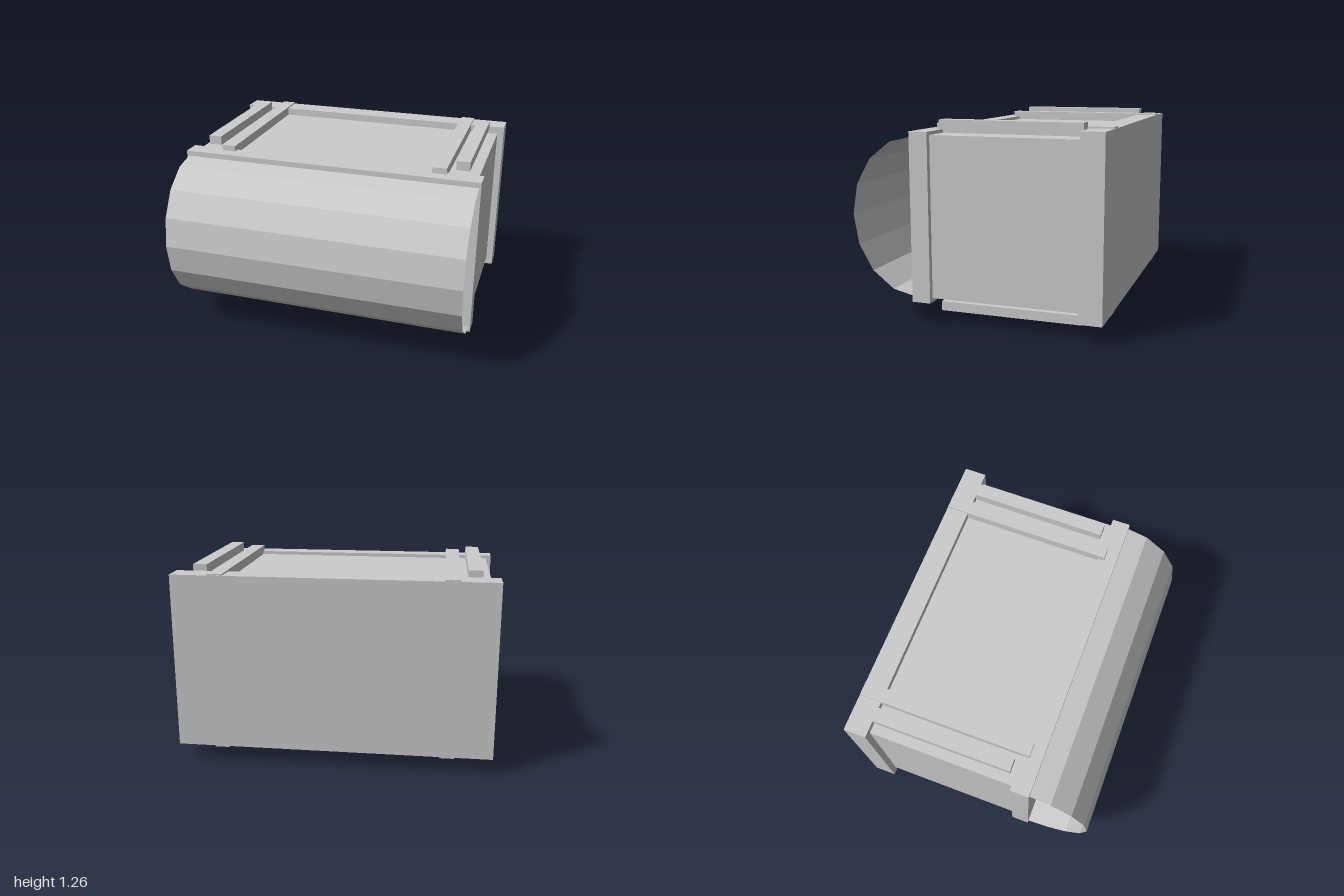
import * as THREE from 'three';

export function createModel() {
  const model = new THREE.Group();
  model.name = 'lampHousing';
  const grey = new THREE.MeshStandardMaterial({ color: 0xcccccc, flatShading: true, side: THREE.DoubleSide });
  grey.name = 'plain grey';

  const add = (name, geometry) => {
    const mesh = new THREE.Mesh(geometry, grey);
    mesh.name = name;
    model.add(mesh);
    return mesh;
  };
  // Box given by its limits on each axis
  const box = (name, x0, x1, y0, y1, z0, z1) =>
    add(name, new THREE.BoxGeometry(x1 - x0, y1 - y0, z1 - z0))
      .position.set((x0 + x1) / 2, (y0 + y1) / 2, (z0 + z1) / 2);

  // Main case with its front and back collars
  box('case', -0.955, 0.955, 0.16, 1.17, -0.7, 0.32);
  box('frontCollar', -0.99, 0.99, 0.135, 1.192, 0.28, 0.4);
  box('backCollar', -1, 1, 0.108, 1.22, -0.805, -0.66);

  // Faceted half-round front shell, open at both ends
  const shell = new THREE.CylinderGeometry(0.5, 0.5, 1.955, 8, 1, true, -Math.PI / 2, Math.PI);
  shell.rotateZ(Math.PI / 2);
  shell.scale(1, 1, 0.87);
  add('frontShell', shell).position.set(0, 0.664, 0.37);

  // Rails along the top and bottom, mirrored left and right
  for (const s of [-1, 1]) {
    const side = s > 0 ? 'left' : 'right';
    const rail = (name, a, b, ...rest) => box(side + name, Math.min(s * a, s * b), Math.max(s * a, s * b), ...rest);
    rail('TopInnerRail', 0.67, 0.762, 1.168, 1.23, -0.803, 0.32);
    rail('TopOuterRail', 0.807, 0.895, 1.2, 1.26, -0.655, 0.245);
    rail('BottomInnerRail', 0.67, 0.762, 0.1, 0.162, -0.803, 0.32);
    rail('BottomOuterRail', 0.807, 0.895, 0.068, 0.127, -0.655, 0.245);
  }

  // Mount under the case
  box('mountPlate', -0.143, 0.14, 0.065, 0.165, -0.13, 0.268);
  box('mountFoot', -0.065, 0.06, 0, 0.07, -0.035, 0.15);

  return model;
}
